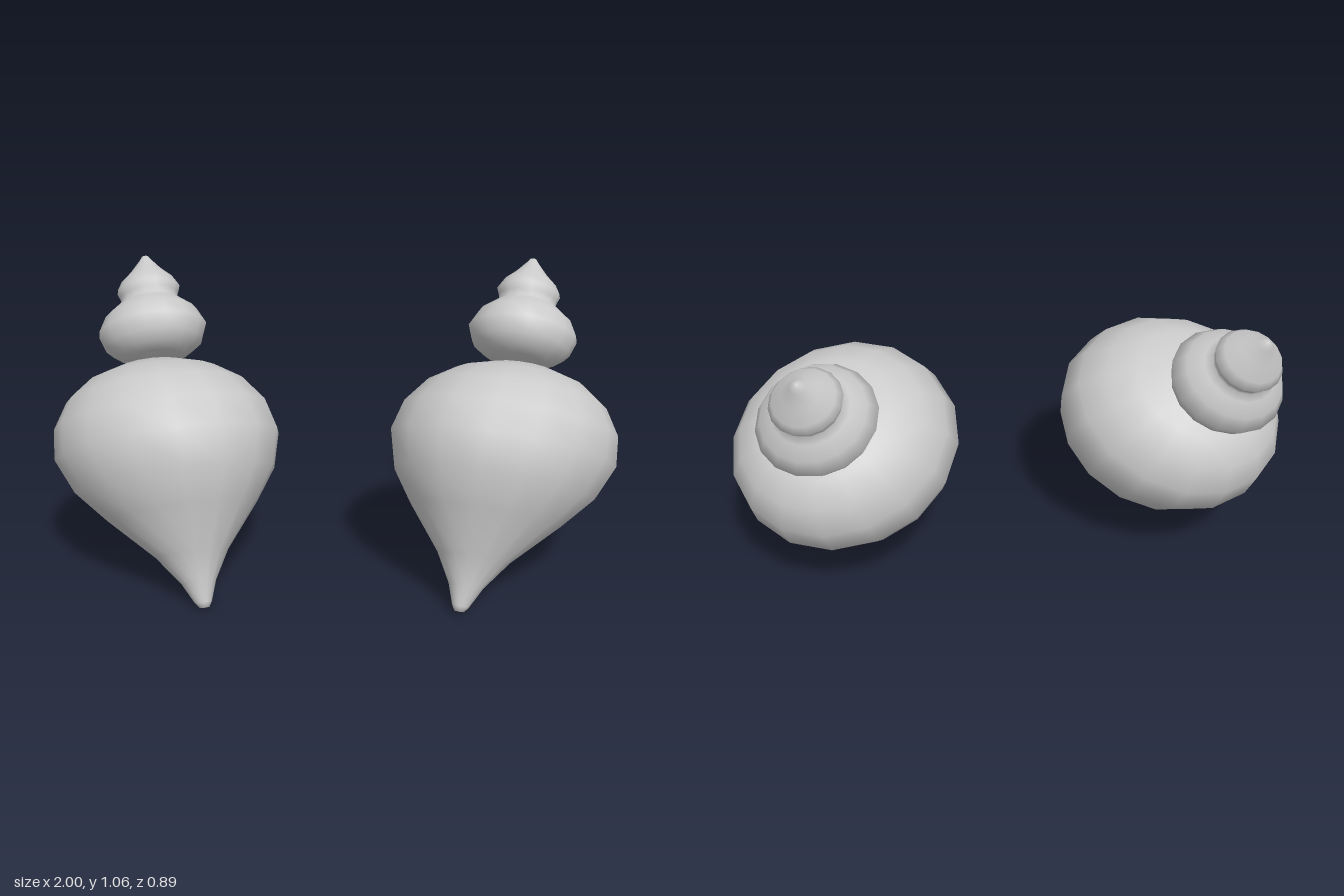
import * as THREE from 'three';

const UP = new THREE.Vector3(0, 1, 0);
const SIDES = 16;

// Each part: profile as [radius, height along the axis], foot point, lean of the axis,
// an oval cross-section (wide, narrow) turned about the axis, and a lift of its wide side
const PARTS = [
  {
    name: 'body',
    profile: [
      [0, 0], [0.016, 0.001], [0.028, 0.02], [0.057, 0.092], [0.12, 0.195], [0.25, 0.35],
      [0.334, 0.464], [0.377, 0.59], [0.36, 0.7], [0.302, 0.795], [0.22, 0.86],
      [0.11, 0.902], [0, 0.918],
    ],
    base: [0.44, 0.003, 0.4],
    axis: [0.155, 0.472, -0.321],
    oval: [1.09, 1.02],
    turn: 0.52,
    lift: 0.13,
  },
  {
    name: 'spire',
    profile: [
      [0, 0], [0.09, 0.01], [0.13, 0.03], [0.167, 0.062], [0.186, 0.12], [0.16, 0.178],
      [0.118, 0.217], [0.097, 0.237], [0.1, 0.258], [0.109, 0.284], [0.093, 0.316],
      [0.056, 0.357], [0.023, 0.402], [0.012, 0.42], [0, 0.425],
    ],
    base: [0.67, 0.711, -0.178],
    axis: [0.16, 0.8, -0.6],
    oval: [1.1, 1.02],
    turn: 0.35,
    lift: 0,
  },
];

// An oval turned form leaning along its axis; side mirrors it across x = 0
function turned({ name, profile, base, axis, oval, turn, lift }, side, material) {
  const points = profile.map(([r, h]) => new THREE.Vector2(r, h));
  const geometry = new THREE.LatheGeometry(points, SIDES);
  geometry.scale(oval[0], 1, oval[1]);
  geometry.applyMatrix4(new THREE.Matrix4().makeShear(side * lift, 0, 0, 0, 0, 0));
  geometry.rotateY(side * turn);
  const mesh = new THREE.Mesh(geometry, material);
  mesh.name = name;
  mesh.position.set(side * base[0], base[1], base[2]);
  const direction = new THREE.Vector3(side * axis[0], axis[1], axis[2]).normalize();
  mesh.quaternion.setFromUnitVectors(UP, direction);
  return mesh;
}

export function createModel() {
  const model = new THREE.Group();
  model.name = 'spiredShellPair';
  const material = new THREE.MeshStandardMaterial({ color: 0xcccccc });

  // Mirrored pair: pointed bulb below, double-bulged spire above
  for (const side of [1, -1]) {
    const shell = new THREE.Group();
    shell.name = side > 0 ? 'leftShell' : 'rightShell';
    for (const part of PARTS) shell.add(turned(part, side, material));
    model.add(shell);
  }
  return model;
}
